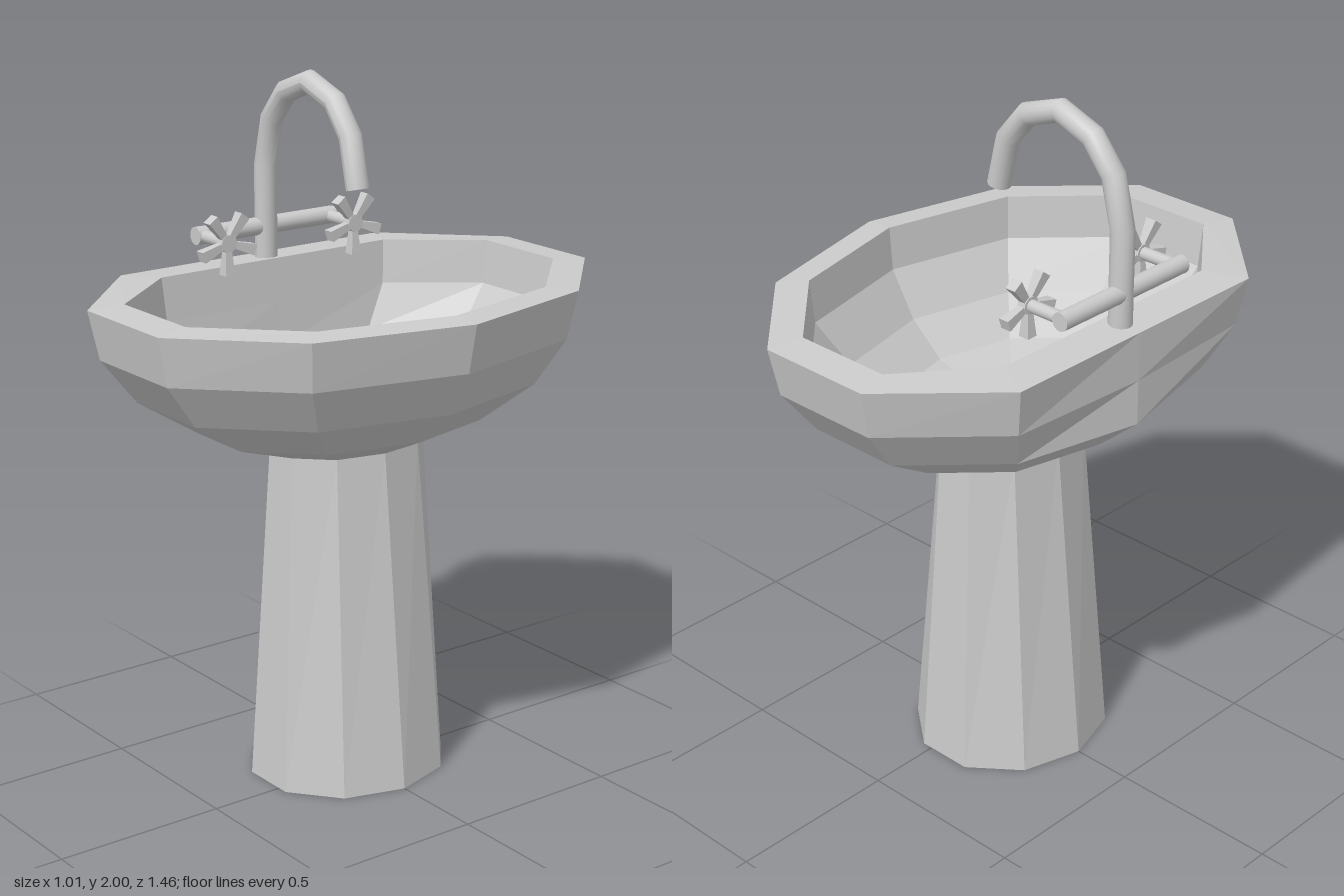
import * as THREE from 'three';

const grey = new THREE.MeshStandardMaterial({ color: 0xcccccc });
const facetedGrey = new THREE.MeshStandardMaterial({ color: 0xcccccc, flatShading: true, side: THREE.DoubleSide });
const SIDES = 10;
const CENTER_X = -0.052;

function add(parent, name, geometry, material = grey) {
  const mesh = new THREE.Mesh(geometry, material);
  mesh.name = name;
  parent.add(mesh);
  return mesh;
}

// Skins ten-sided oval rings: { rx, rz, y, back } where back is the furthest -x allowed
function loftOvals(rings) {
  const positions = [], index = [];
  for (const { rx, rz, y, back = -1 } of rings) {
    for (let j = 0; j < SIDES; j++) {
      const t = (j / SIDES) * Math.PI * 2;
      positions.push(Math.max(back, CENTER_X + rx * Math.cos(t)), y, rz * Math.sin(t));
    }
  }
  for (let i = 0; i < rings.length - 1; i++) {
    for (let j = 0; j < SIDES; j++) {
      const a = i * SIDES + j, b = i * SIDES + (j + 1) % SIDES;
      const c = a + SIDES, d = b + SIDES;
      index.push(a, c, b, b, c, d);
    }
  }
  const geometry = new THREE.BufferGeometry();
  geometry.setAttribute('position', new THREE.Float32BufferAttribute(positions, 3));
  geometry.setIndex(index);
  geometry.computeVertexNormals();
  return geometry;
}

// Bends a cylinder along a path in the xy plane, one ring per path point
function bentPipe(path, radius) {
  const last = path.length - 1;
  const geometry = new THREE.CylinderGeometry(radius, radius, last, 16, last);
  const pos = geometry.attributes.position;
  for (let i = 0; i < pos.count; i++) {
    const k = Math.round(pos.getY(i) + last / 2);
    const prev = path[Math.max(0, k - 1)], next = path[Math.min(last, k + 1)];
    const dx = next[0] - prev[0], dy = next[1] - prev[1], len = Math.hypot(dx, dy);
    const offset = pos.getX(i);
    pos.setXY(i, path[k][0] + (dy / len) * offset, path[k][1] - (dx / len) * offset);
  }
  geometry.computeVertexNormals();
  return geometry;
}

export function createModel() {
  const sink = new THREE.Group();
  sink.name = 'pedestalSink';

  // Basin: up the outside, over the rim, down the inside to the drain
  const oval = (f, y, back) => ({ rx: 0.553 * f, rz: 0.766 * f, y, back });
  add(sink, 'basin', loftOvals([
    oval(0, 0.98),
    oval(0.315, 0.98),
    oval(0.59, 1.05),
    oval(0.825, 1.16, -0.505),
    oval(0.96, 1.29, -0.505),
    { ...oval(1, 1.43, -0.505), rx: 0.56 },
    oval(0.863, 1.437, -0.39),
    oval(0.845, 1.31, -0.38),
    oval(0.7, 1.18, -0.37),
    oval(0.51, 1.09),
    oval(0.125, 1.03),
    oval(0, 1.03),
  ]), facetedGrey);

  // Pedestal, open underneath
  add(sink, 'pedestal', loftOvals([
    { rx: 0.27, rz: 0.298, y: 0 },
    { rx: 0.175, rz: 0.24, y: 0.985 },
  ]), facetedGrey);

  // Gooseneck spout
  const tap = new THREE.Group();
  tap.name = 'tap';
  sink.add(tap);
  add(tap, 'spout', bentPipe([
    [-0.437, 1.42], [-0.437, 1.7], [-0.402, 1.84], [-0.33, 1.925],
    [-0.22, 1.966], [-0.105, 1.925], [-0.035, 1.84], [-0.002, 1.7],
  ], 0.033));

  // Cross pipe behind the valves
  const crossPipe = add(tap, 'crossPipe', new THREE.CylinderGeometry(0.026, 0.026, 0.48, 16));
  crossPipe.rotation.x = Math.PI / 2;
  crossPipe.position.set(-0.441, 1.525, 0);

  // A valve stem with a five-spoked handle on each side
  for (const side of [-1, 1]) {
    const valve = new THREE.Group();
    valve.name = side > 0 ? 'leftValve' : 'rightValve';
    valve.position.set(-0.313, 1.525, side * 0.22);
    tap.add(valve);

    const stem = add(valve, 'stem', new THREE.CylinderGeometry(0.018, 0.018, 0.13, 12));
    stem.rotation.z = Math.PI / 2;
    stem.position.x = -0.063;
    const hub = add(valve, 'hub', new THREE.CylinderGeometry(0.026, 0.026, 0.026, 10), facetedGrey);
    hub.rotation.z = Math.PI / 2;

    for (let k = 0; k < 5; k++) {
      const spoke = new THREE.Group();
      spoke.name = 'spoke';
      spoke.rotation.x = Math.PI + (k / 5) * Math.PI * 2;
      valve.add(spoke);
      const bar = new THREE.CylinderGeometry(0.023, 0.013, 0.075, 4);
      bar.rotateY(Math.PI / 4);
      bar.translate(0, 0.053, 0);
      add(spoke, 'spokeBar', bar, facetedGrey);
    }
  }
  return sink;
}
